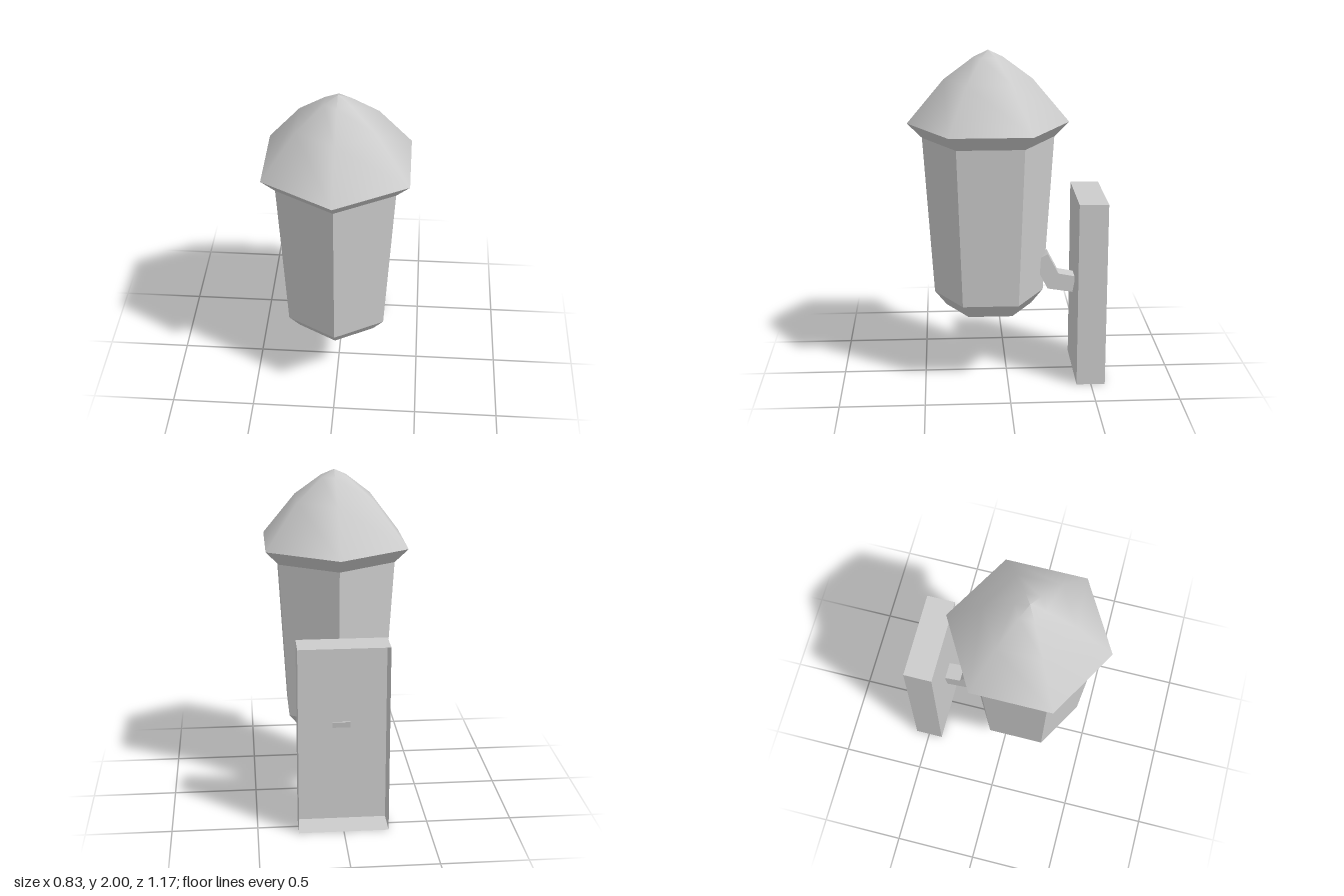
import * as THREE from 'three';

export function createModel() {
  const lamp = new THREE.Group();
  lamp.name = 'wallLantern';
  const grey = new THREE.MeshStandardMaterial({ color: 0xcccccc, side: THREE.DoubleSide });
  grey.name = 'plain grey';

  const add = (name, geometry, parent = lamp) => {
    const mesh = new THREE.Mesh(geometry, grey);
    mesh.name = name;
    parent.add(mesh);
    return mesh;
  };

  // Six-sided lantern: every section is a lathe of [radius, height] points
  const lantern = new THREE.Group();
  lantern.name = 'lantern';
  lantern.position.z = 0.106;
  lamp.add(lantern);
  const hex = (name, points, flat = false) => {
    let geometry = new THREE.LatheGeometry(points.map(([r, y]) => new THREE.Vector2(r, y)), 6);
    if (flat) {
      geometry = geometry.toNonIndexed();
      geometry.computeVertexNormals();
    }
    add(name, geometry, lantern);
  };
  hex('base', [[0, 0.437], [0.26, 0.437]], true);
  hex('lowerCollar', [[0.26, 0.437], [0.33, 0.523]]);
  hex('glassBody', [[0.33, 0.523], [0.391, 1.483]], true);
  hex('roofSkirt', [[0.391, 1.483], [0.478, 1.57]]);
  hex('roof', [[0.478, 1.57], [0.26, 1.83], [0.085, 1.96], [0, 2]]);

  // Wall plate: a shallow box left open at the back
  const plate = new THREE.BoxGeometry(0.524, 1.132, 0.172);
  plate.setIndex([...plate.index.array].slice(0, 30));
  plate.clearGroups();
  add('wallPlate', plate).position.set(0, 0.566, -0.499);

  // Bent arm between plate and lantern, drawn in the side plane (z, y)
  const outline = [
    [-0.402, 0.52], [-0.25, 0.545], [-0.16, 0.718],
    [-0.25, 0.765], [-0.315, 0.64], [-0.419, 0.62],
  ].map(([z, y]) => new THREE.Vector2(z, y));
  const arm = new THREE.ExtrudeGeometry(new THREE.Shape(outline), { depth: 0.104, bevelEnabled: false });
  arm.rotateY(-Math.PI / 2);
  arm.translate(0.052, 0, 0);
  add('arm', arm);

  return lamp;
}
